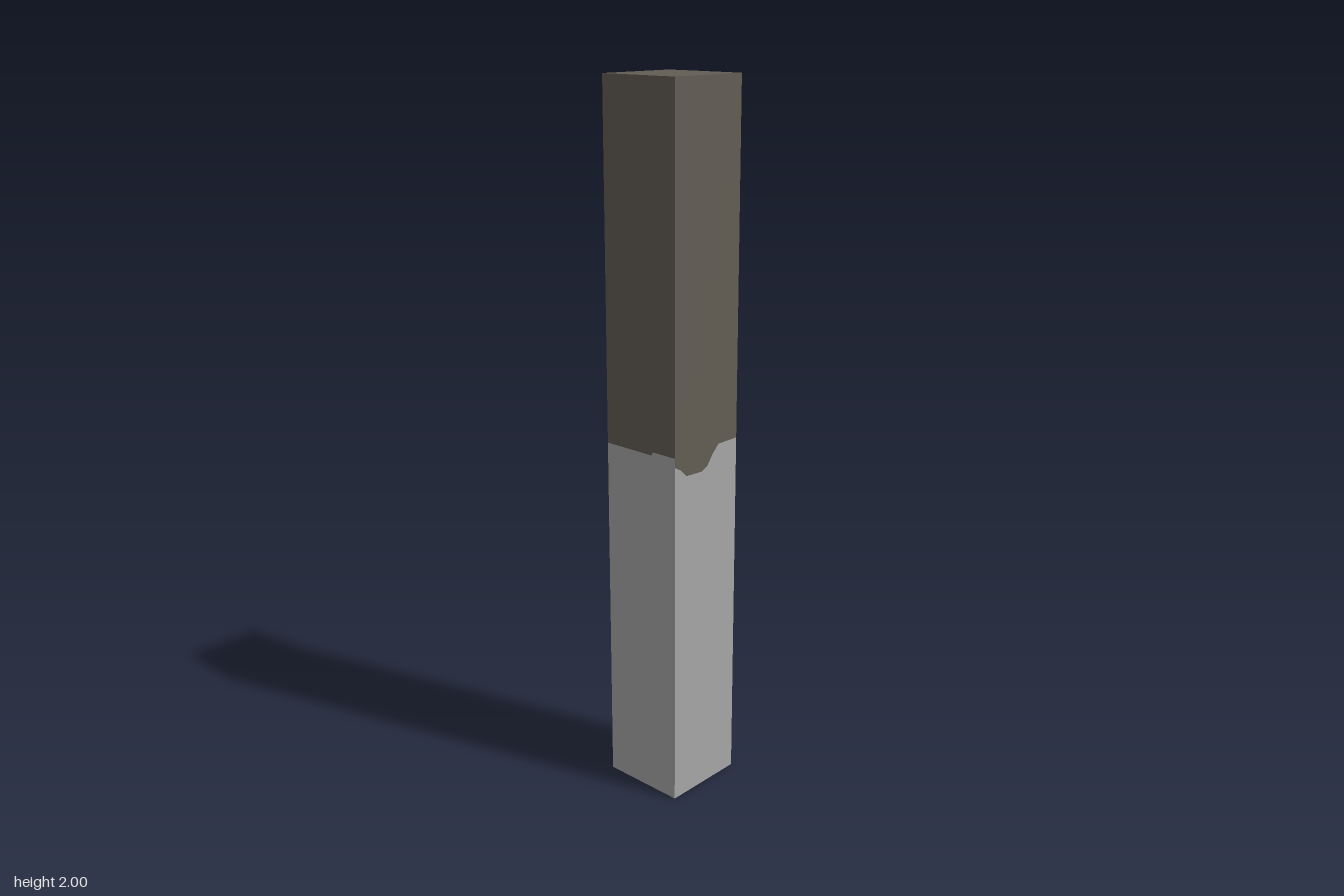
import * as THREE from 'three';

const H = 0.125; // half width of the post

// Corner groove: [depth of the square notch, height], from the top down
const GROOVE_UPPER = [[0, 2], [0.1, 1.833], [0.1, 0.998]];
const GROOVE_LOWER = [[0.1, 0.998], [0.075, 0.973], [0.075, 0.895], [0.1, 0.87], [0.1, 0.167], [0, 0]];

// Wavy edge between the two colours on each side, left to right as seen from outside.
// groove tells which end of the side meets the notched corner.
const SIDES = [
  { name: 'front', turn: 0, edge: [[-H, 1.02], [0.04, 1.02], [0.045, 1.03], [H, 1.03]] },
  { name: 'right', turn: Math.PI / 2, edge: [[-H, 1.005], [-0.1, 0.99], [-0.08, 0.97], [-0.02, 0.967],
    [0.005, 0.978], [0.025, 1.005], [0.05, 1.03], [H, 1.03]] },
  { name: 'back', turn: Math.PI, groove: 1, edge: [[-H, 1.03], [-0.1, 1.005], [-0.075, 0.975],
    [-0.045, 0.966], [0, 0.966], [0.04, 0.983]] },
  { name: 'left', turn: -Math.PI / 2, groove: -1, edge: [[-0.035, 0.988], [-0.01, 1.005], [0.02, 1.015], [H, 1.02]] },
];

// Flat piece of one side, from the colour edge to the top or bottom
function sidePiece(side, upper) {
  const end = upper ? 2 : 0;
  const outline = (sign) => {
    if (side.groove !== sign) return [[sign * H, end]];
    const steps = upper ? [...GROOVE_UPPER].reverse() : GROOVE_LOWER.slice(1);
    return steps.map(([s, y]) => [sign * (H - s), y]);
  };
  const points = [...side.edge, ...outline(1), ...outline(-1).reverse()];
  const shape = new THREE.Shape(points.map(([x, y]) => new THREE.Vector2(x, y)));
  return new THREE.ShapeGeometry(shape).translate(0, 0, H).rotateY(side.turn);
}

// Two walls of the square notch, lofted through the groove levels
function grooveWalls(levels) {
  const pos = [];
  const triangle = (a, b, c) => {
    const place = ([x, y, z]) => pos.push(x - H, y, z - H);
    [a, b, c].forEach(place);
    [c, b, a].forEach(([x, y, z]) => place([z, y, x])); // mirrored wall
  };
  for (let i = 0; i < levels.length - 1; i++) {
    const [s1, y1] = levels[i], [s2, y2] = levels[i + 1];
    const a1 = [s1, y1, 0], b1 = [s1, y1, s1], a2 = [s2, y2, 0], b2 = [s2, y2, s2];
    if (s2 > 0) triangle(a1, a2, b2);
    if (s1 > 0) triangle(a1, b2, b1);
  }
  const geometry = new THREE.BufferGeometry();
  geometry.setAttribute('position', new THREE.Float32BufferAttribute(pos, 3));
  geometry.computeVertexNormals();
  return geometry;
}

export function createModel() {
  const model = new THREE.Group();
  model.name = 'post';

  const brown = new THREE.MeshStandardMaterial({ color: 0x635d54 });
  brown.name = 'dark brown';
  const grey = new THREE.MeshStandardMaterial({ color: 0xa7a7a7 });
  grey.name = 'light grey';

  for (const upper of [true, false]) {
    const half = new THREE.Group();
    half.name = upper ? 'upperHalf' : 'lowerHalf';
    const add = (name, geometry) => {
      const mesh = new THREE.Mesh(geometry, upper ? brown : grey);
      mesh.name = name;
      half.add(mesh);
    };

    // Four sides
    for (const side of SIDES) add(side.name + 'Side', sidePiece(side, upper));

    // Notched corner
    add('cornerGroove', grooveWalls(upper ? GROOVE_UPPER : GROOVE_LOWER));

    // Flat end
    const cap = new THREE.PlaneGeometry(2 * H, 2 * H).rotateX(upper ? -Math.PI / 2 : Math.PI / 2);
    add('endCap', cap.translate(0, upper ? 2 : 0, 0));

    model.add(half);
  }
  return model;
}
